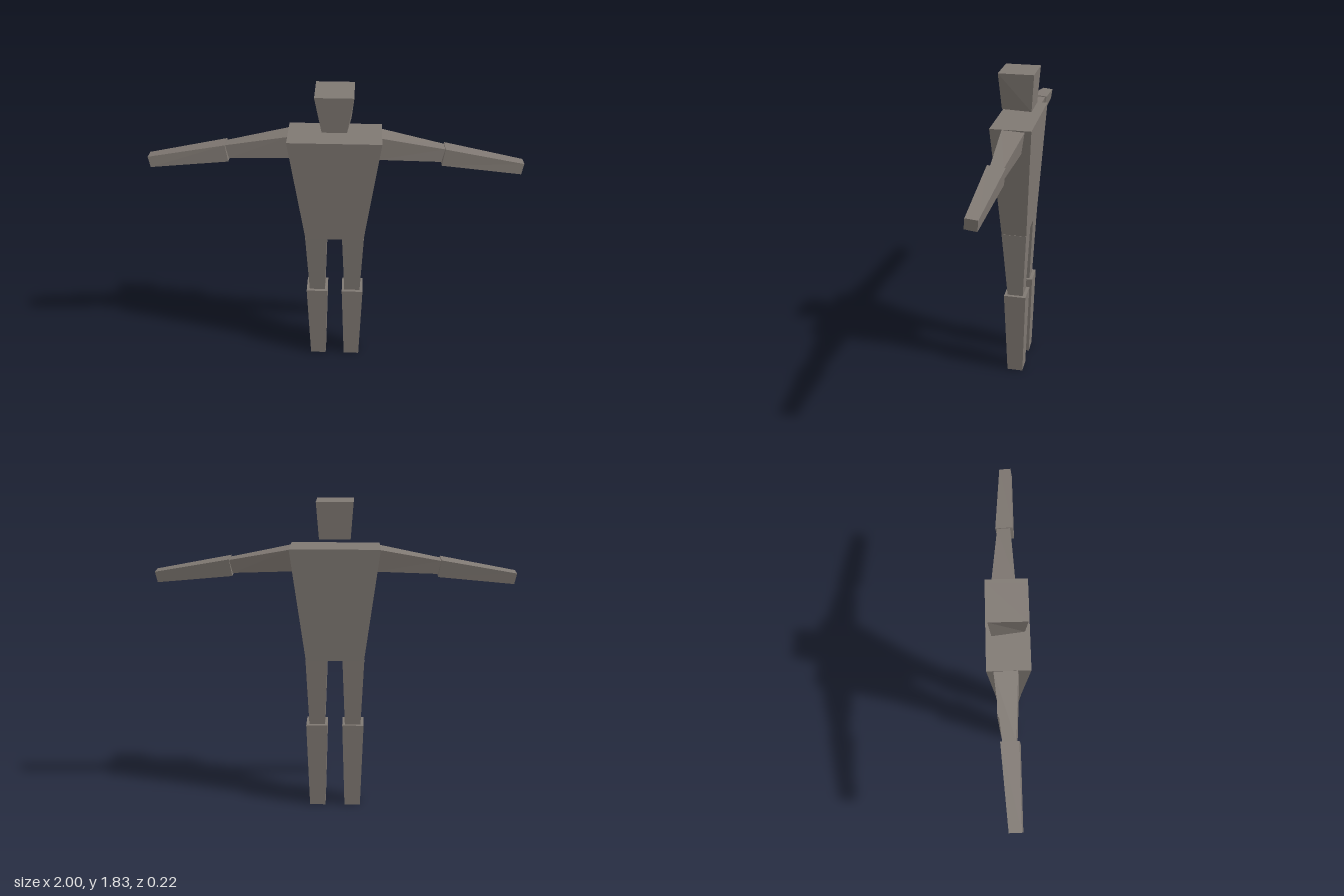
import * as THREE from 'three';

const clay = new THREE.MeshStandardMaterial({ color: 0x807973 });
clay.name = 'warmGrey';

// Six-sided block between two four-corner ends; end a runs counterclockwise seen from outside
function block(name, a, b) {
  const quads = [[a[0], a[1], a[2], a[3]], [b[3], b[2], b[1], b[0]]];
  for (let i = 0; i < 4; i++) {
    const j = (i + 1) % 4;
    quads.push([a[i], b[i], b[j], a[j]]);
  }
  const pos = quads.flatMap(([p, q, r, s]) => [p, q, r, p, r, s]).flat();
  const geo = new THREE.BufferGeometry();
  geo.setAttribute('position', new THREE.Float32BufferAttribute(pos, 3));
  geo.computeVertexNormals();
  const mesh = new THREE.Mesh(geo, clay);
  mesh.name = name;
  return mesh;
}

// Horizontal end: x range, z range, optional narrower front edge
const level = (y, x0, x1, zBack, zFront, inset = 0) => [
  [x0 + inset, y, zFront], [x1 - inset, y, zFront], [x1, y, zBack], [x0, y, zBack],
];

// Arm end: corners front bottom, back bottom, back top, front top as [y, z]
const armEnd = (xTop, xBottom, corners) =>
  corners.map(([y, z], i) => [i < 2 ? xBottom : xTop, y, z]);

// Mirror an end across x and restore its winding
const flip = (end) => end.map(([x, y, z]) => [-x, y, z]).reverse();

export function createModel() {
  const model = new THREE.Group();
  model.name = 'figure';

  // Head and torso
  model.add(block('head',
    level(1.83, -0.1, 0.1, -0.095, 0.095),
    level(1.63, -0.085, 0.085, -0.08, 0.083, 0.02)));
  model.add(block('torso',
    level(1.58, -0.247, 0.247, -0.11, 0.11),
    level(0.935, -0.165, 0.165, -0.07, 0.07)));

  // Limbs, described on the left side
  const limbs = {
    UpperArm: [
      armEnd(0.58, 0.565, [[1.44, 0.035], [1.433, -0.03], [1.507, -0.04], [1.513, 0.028]]),
      armEnd(0.245, 0.225, [[1.456, 0.053], [1.449, -0.055], [1.572, -0.075], [1.579, 0.045]])],
    Forearm: [
      armEnd(1.0, 0.99, [[1.382, 0.05], [1.374, -0.012], [1.435, -0.02], [1.441, 0.042]]),
      armEnd(0.58, 0.567, [[1.426, 0.05], [1.417, -0.037], [1.512, -0.05], [1.52, 0.042]])],
    Thigh: [
      level(0.935, 0.043, 0.167, -0.07, 0.07),
      level(0.535, 0.058, 0.15, -0.048, 0.042)],
    Shin: [
      level(0.535, 0.043, 0.168, -0.067, 0.06),
      level(0, 0.058, 0.152, -0.047, 0.046)],
  };
  for (const [name, [a, b]] of Object.entries(limbs)) {
    model.add(block('left' + name, a, b));
    model.add(block('right' + name, flip(a), flip(b)));
  }
  return model;
}
